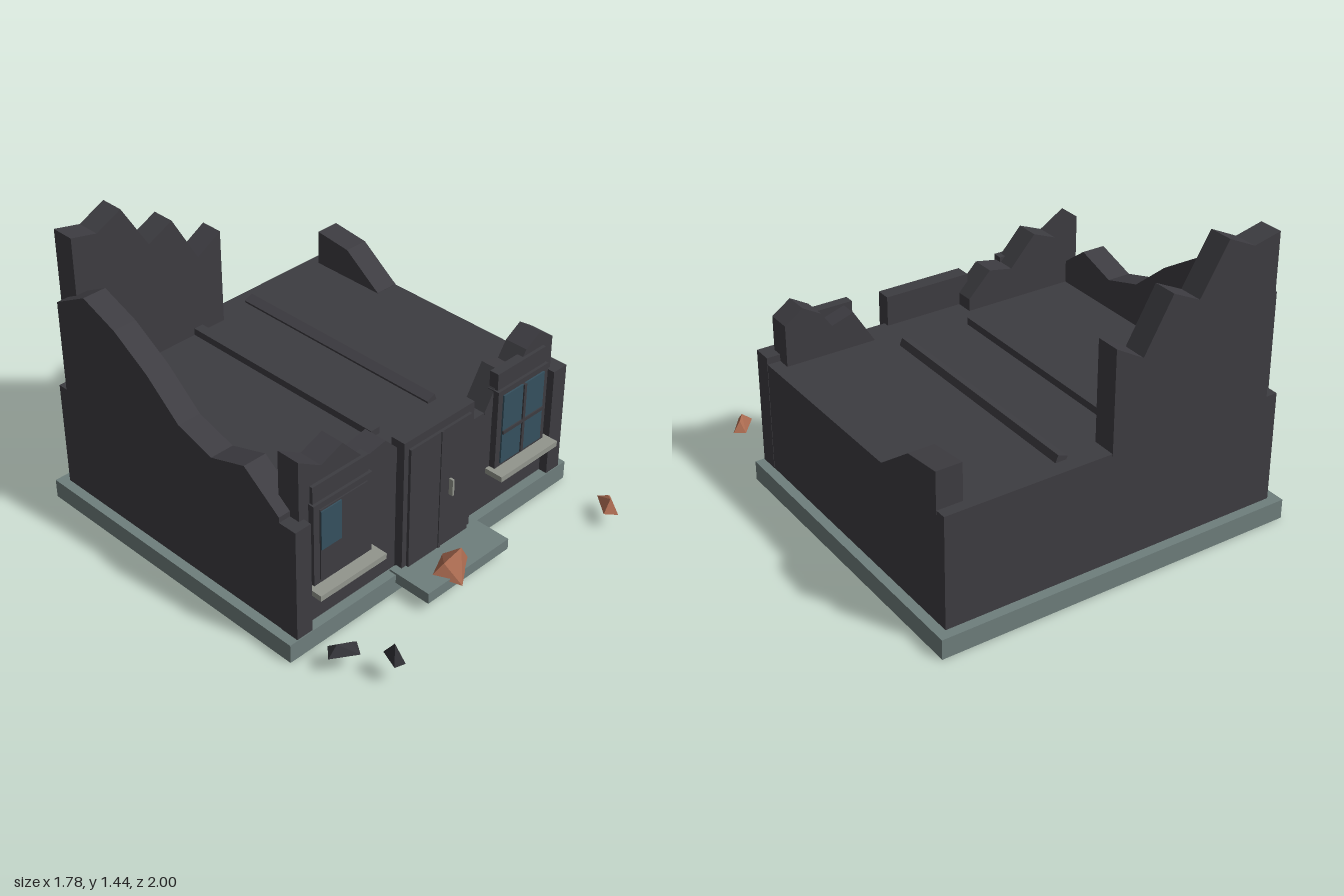
import * as THREE from 'three';
import { ConvexGeometry } from 'three/addons/geometries/ConvexGeometry.js';

const mat = (name, color) => {
  const m = new THREE.MeshStandardMaterial({ color });
  m.name = name;
  return m;
};

export function createModel() {
  const model = new THREE.Group();
  model.name = 'ruinedHouse';
  const charred = mat('charred wall', 0x3d3c41);
  const stone = mat('grey green stone', 0x6e7e7c);
  const sillStone = mat('pale sill', 0x92958d);
  const glass = mat('blue glass', 0x35505e);
  const brick = mat('broken brick', 0xa8694f);
  const soot = mat('soot rubble', 0x333338);

  const add = (name, geometry, material, parent = model) => {
    const mesh = new THREE.Mesh(geometry, material);
    mesh.name = name;
    parent.add(mesh);
    return mesh;
  };
  // Box given by its extents on each axis
  const box = (name, x0, x1, y0, y1, z0, z1, material, parent) => {
    const g = new THREE.BoxGeometry(x1 - x0, y1 - y0, z1 - z0);
    g.translate((x0 + x1) / 2, (y0 + y1) / 2, (z0 + z1) / 2);
    return add(name, g, material, parent);
  };

  const ROOF = 0.63, FRONT = 0.53;

  // Jagged wall above the roof: broken top edge closed down to roof level
  const jagged = (top, depth) => {
    const pts = [[top[0][0], ROOF - 0.02], ...top, [top[top.length - 1][0], ROOF - 0.02]];
    const shape = new THREE.Shape(pts.map(([u, y]) => new THREE.Vector2(u, y)));
    return new THREE.ExtrudeGeometry(shape, { depth, bevelEnabled: false });
  };
  const crossWall = (name, top, z0, z1) =>
    add(name, jagged(top, z1 - z0).translate(0, 0, z0), charred);
  const sideWall = (name, top, x0, x1) =>
    add(name, jagged(top.map(([z, y]) => [-z, y]), x1 - x0).rotateY(Math.PI / 2).translate(x0, 0, 0), charred);

  // Foundation, step and main block
  box('foundation', -0.89, 0.89, 0, 0.095, -1, 0.578, stone);
  box('doorStep', -0.26, 0.26, 0.05, 0.105, 0.54, 0.77, stone);
  box('mainBlock', -0.843, 0.843, 0.09, ROOF, -0.953, FRONT, charred);

  // Broken parapets
  crossWall('backWall', [[-0.785, 1.405], [-0.65, 1.375], [-0.515, 1.44], [-0.375, 1.21],
    [-0.24, 1.275], [-0.1, 1.03], [0.037, 1.11]], -0.954, -0.838);
  crossWall('frontWallRight', [[-0.785, 0.957], [-0.66, 0.88], [-0.54, 0.928], [-0.41, 0.785],
    [-0.29, 0.808], [-0.175, 0.69]], 0.415, 0.532);
  crossWall('frontWallLeft', [[0.335, 0.63], [0.44, 0.8], [0.55, 0.765], [0.6, 0.84],
    [0.69, 0.893], [0.78, 0.83]], 0.415, 0.532);
  sideWall('rightSideWall', [[0.48, 0.69], [0.42, 0.735], [0.28, 0.84], [0.08, 0.775], [-0.12, 0.835],
    [-0.31, 0.995], [-0.51, 1.12], [-0.705, 1.195], [-0.9, 1.09]], -0.845, -0.727);
  sideWall('leftSideWall', [[-0.49, 0.632], [-0.51, 0.645], [-0.7, 0.785], [-0.9, 0.807]], 0.722, 0.845);

  // Fallen roof beams, the second one tilted
  box('roofBeam', -0.145, -0.095, ROOF - 0.01, 0.665, -0.88, 0.31, charred);
  const beam = add('tiltedRoofBeam', new THREE.BoxGeometry(0.05, 0.045, 1.19), charred);
  beam.position.set(0.24, 0.633, -0.285);
  beam.rotation.z = 0.38;

  // Corner pilasters
  for (const s of [-1, 1]) {
    const x = s * 0.802;
    box('cornerPilaster', x - 0.043, x + 0.043, 0.09, 0.663, FRONT - 0.05, 0.574, charred);
  }

  // Double door
  const door = new THREE.Group();
  door.name = 'doubleDoor';
  model.add(door);
  box('doorFrame', -0.22, 0.215, 0.095, 0.775, 0.5, 0.574, charred, door);
  box('doorLeaf', -0.193, -0.004, 0.1, 0.735, 0.55, 0.588, charred, door);
  box('doorLeaf', 0.002, 0.187, 0.1, 0.735, 0.55, 0.588, charred, door);
  box('doorSeam', -0.007, 0.005, 0.1, 0.735, 0.55, 0.593, charred, door);
  box('doorHandle', 0.054, 0.065, 0.37, 0.455, 0.588, 0.61, sillStone, door);

  // Windows: frame, lintel, sill and inner panel
  for (const [name, x] of [['boardedWindow', -0.565], ['panedWindow', 0.558]]) {
    const w = new THREE.Group();
    w.name = name;
    model.add(w);
    box('windowFrame', x - 0.168, x + 0.168, 0.3, 0.725, 0.5, 0.562, charred, w);
    box('lintel', x - 0.16, x + 0.16, 0.725, 0.81, 0.5, 0.548, charred, w);
    box('sill', x - 0.193, x + 0.193, 0.284, 0.312, 0.52, 0.627, sillStone, w);
    if (x < 0) {
      box('boardPanel', x - 0.135, x + 0.135, 0.33, 0.695, 0.55, 0.568, charred, w);
      box('glassRemnant', x - 0.135, x - 0.02, 0.49, 0.688, 0.568, 0.574, glass, w);
    } else {
      box('glassPane', x - 0.137, x + 0.137, 0.33, 0.697, 0.562, 0.57, glass, w);
      box('mullion', x - 0.008, x + 0.008, 0.33, 0.697, 0.562, 0.577, charred, w);
      box('crossBar', x - 0.137, x + 0.137, 0.492, 0.509, 0.562, 0.576, charred, w);
    }
  }

  // Angular rubble as small convex lumps
  const lump = (name, pts, material) =>
    add(name, new ConvexGeometry(pts.map(p => new THREE.Vector3(...p))), material);
  lump('largeBrickChunk', [[-0.16, 0.1, 0.695], [-0.02, 0.1, 0.627], [0.04, 0.105, 0.725], [-0.105, 0.09, 0.825],
    [-0.11, 0.155, 0.72], [-0.005, 0.185, 0.725], [0.02, 0.14, 0.69]], brick);
  lump('smallBrickChunk', [[0.72, 0.083, 0.945], [0.805, 0.085, 0.84], [0.85, 0.08, 0.88], [0.765, 0.08, 0.993],
    [0.775, 0.133, 0.935], [0.805, 0.12, 0.9]], brick);
  lump('flatSootChunk', [[-0.835, 0.095, 0.745], [-0.785, 0.1, 0.69], [-0.68, 0.1, 0.755], [-0.725, 0.1, 0.822],
    [-0.78, 0.138, 0.74], [-0.72, 0.13, 0.765]], soot);
  lump('tallSootChunk', [[-0.695, 0.115, 0.985], [-0.67, 0.13, 0.897], [-0.627, 0.112, 0.905], [-0.64, 0.108, 0.995],
    [-0.675, 0.222, 0.965], [-0.645, 0.165, 0.925]], soot);
  lump('wallShard', [[0.555, 0.265, 0.525], [0.585, 0.255, 0.525], [0.605, 0.325, 0.525], [0.58, 0.29, 0.545]], soot);

  return model;
}
